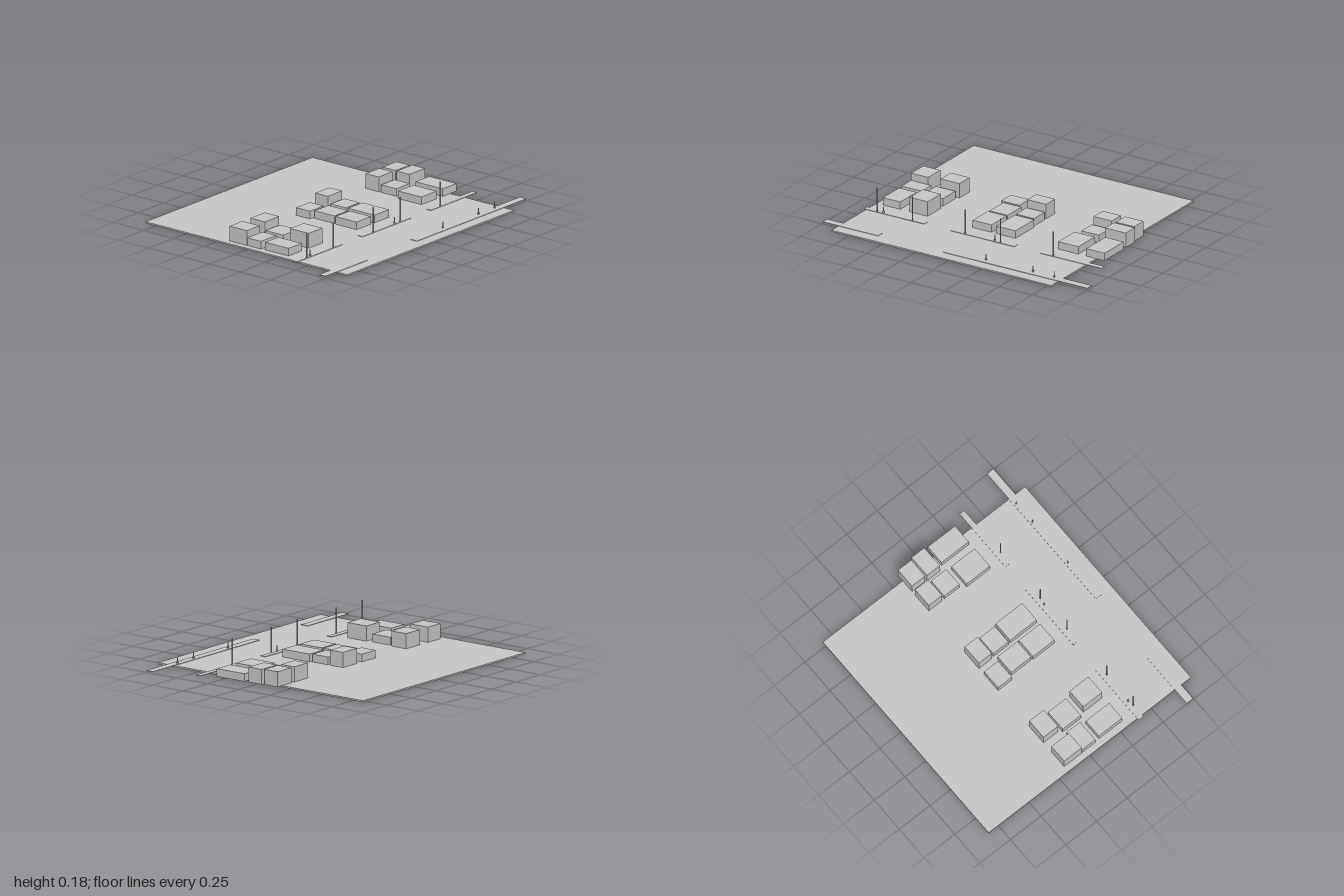
import * as THREE from 'three';

const GROUND_TOP = 0.01;

export function createModel() {
  const model = new THREE.Group();
  model.name = 'cityBlockModel';
  const grey = new THREE.MeshStandardMaterial({ color: 0xc8c8c8 });
  grey.name = 'modelGrey';

  // Box given by its extents on each axis
  function slab(parent, name, x0, x1, y0, y1, z0, z1) {
    const mesh = new THREE.Mesh(new THREE.BoxGeometry(x1 - x0, y1 - y0, z1 - z0), grey);
    mesh.position.set((x0 + x1) / 2, (y0 + y1) / 2, (z0 + z1) / 2);
    mesh.name = name;
    parent.add(mesh);
  }
  function group(name) {
    const g = new THREE.Group();
    g.name = name;
    model.add(g);
    return g;
  }

  // Base plate
  slab(model, 'ground', -0.83, 0.825, 0, GROUND_TOP, -0.78, 0.88);

  // Buildings: x0, x1, z0, z1, tall
  const buildings = group('buildings');
  [
    [-0.177, -0.069, -0.826, -0.686, 1], [-0.058, 0.047, -0.838, -0.682, 1], [0.079, 0.302, -0.842, -0.704, 0],
    [-0.177, -0.069, -0.656, -0.518, 1], [-0.05, 0.074, -0.652, -0.519, 0], [0.111, 0.302, -0.645, -0.492, 0],
    [-0.177, -0.073, -0.159, -0.016, 1], [-0.055, 0.069, -0.159, -0.022, 0], [0.084, 0.302, -0.17, -0.024, 0],
    [-0.177, -0.063, 0.036, 0.175, 0], [-0.047, 0.116, 0.01, 0.148, 0], [0.127, 0.302, 0.01, 0.153, 0],
    [-0.177, -0.058, 0.487, 0.63, 1], [-0.037, 0.111, 0.503, 0.651, 0], [0.148, 0.302, 0.493, 0.63, 1],
    [-0.177, -0.034, 0.709, 0.837, 1], [-0.032, 0.079, 0.682, 0.836, 0], [0.111, 0.302, 0.7, 0.831, 0],
  ].forEach(([x0, x1, z0, z1, tall]) =>
    slab(buildings, tall ? 'tallBuilding' : 'lowBuilding', x0, x1, GROUND_TOP, tall ? 0.109 : 0.061, z0, z1));

  // Raised paving strips, in separate lengths
  const paving = group('paving');
  [[-0.9, -0.44], [-0.24, 0.24], [0.44, 0.895]].forEach(([z0, z1]) =>
    slab(paving, 'innerStrip', 0.386, 0.424, GROUND_TOP, 0.013, z0, z1));
  [[-1, 0.09], [0.58, 1]].forEach(([z0, z1]) =>
    slab(paving, 'outerStrip', 0.692, 0.745, GROUND_TOP, 0.013, z0, z1));

  // Tall thin lamp posts along the inner strip
  const posts = group('lampPosts');
  [-0.533, -0.135, 0.132, 0.53, 0.796].forEach((z) =>
    slab(posts, 'lampPost', 0.419, 0.425, GROUND_TOP, 0.18, z - 0.003, z + 0.003));

  // Short markers with a wider foot
  const markers = group('markers');
  [[0.414, -0.087], [0.414, 0.753], [0.709, -0.727], [0.709, -0.566], [0.709, -0.212]].forEach(([x, z]) => {
    slab(markers, 'markerPost', x - 0.002, x + 0.002, GROUND_TOP, 0.055, z - 0.002, z + 0.002);
    slab(markers, 'markerFoot', x - 0.004, x + 0.004, GROUND_TOP, 0.028, z - 0.004, z + 0.004);
  });

  return model;
}
